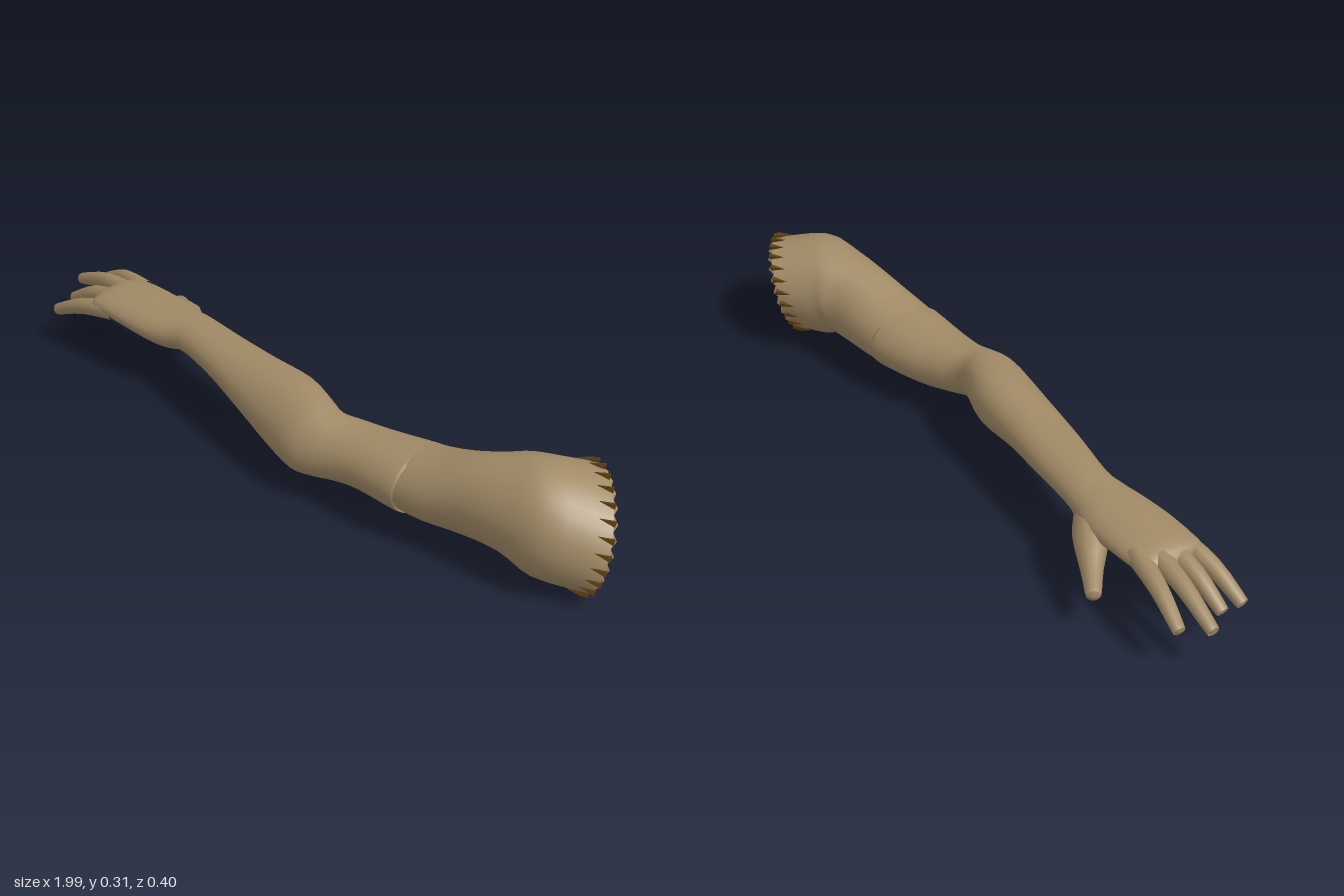
import * as THREE from 'three';
import { mergeGeometries, toCreasedNormals } from 'three/addons/utils/BufferGeometryUtils.js';

const V = (x, y, z) => new THREE.Vector3(x, y, z);

// Skin through elliptical rings { c: centre, u, v: half axes }, smoothed along the length
function loft(rings, sides, steps) {
  const [c, u, v] = ['c', 'u', 'v'].map(k =>
    new THREE.CatmullRomCurve3(rings.map(r => r[k]), false, 'catmullrom', 0.5));
  const count = (rings.length - 1) * steps;
  const pos = [], index = [];
  for (let i = 0; i <= count; i++) {
    const t = i / count;
    const pc = c.getPoint(t), pu = u.getPoint(t), pv = v.getPoint(t);
    for (let j = 0; j < sides; j++) {
      const a = j / sides * Math.PI * 2;
      pos.push(...pc.clone().addScaledVector(pu, Math.cos(a)).addScaledVector(pv, Math.sin(a)).toArray());
      if (i === count) continue;
      const p = i * sides + j, q = i * sides + (j + 1) % sides;
      index.push(p, p + sides, q, q, p + sides, q + sides);
    }
  }
  const g = new THREE.BufferGeometry();
  g.setAttribute('position', new THREE.Float32BufferAttribute(pos, 3));
  g.setIndex(index);
  g.computeVertexNormals();
  return g;
}

// Upright ring from its extents; drop lowers the front side
const ring = (x, bottom, top, back, front, drop = 0) => ({
  c: V(x, (bottom + top) / 2, (back + front) / 2),
  u: V(0, -drop, (front - back) / 2),
  v: V(0, (top - bottom) / 2, 0),
});

// Rounded finger along a few points with a radius at each
function finger(points, radii) {
  const n = points.length - 1;
  const rings = points.map((p, i) => {
    const dir = points[Math.min(i + 1, n)].clone().sub(points[Math.max(i - 1, 0)]).normalize();
    const v = V(0, 1, 0).addScaledVector(dir, -dir.y).normalize();
    const u = v.clone().cross(dir.clone().negate());
    return { c: p, dir, u: u.multiplyScalar(radii[i]), v: v.multiplyScalar(radii[i]) };
  });
  const end = rings[n];
  for (const [ahead, s] of [[0.5, 0.75], [0.75, 0.01]]) {
    rings.push({
      c: end.c.clone().addScaledVector(end.dir, radii[n] * ahead),
      u: end.u.clone().multiplyScalar(s), v: end.v.clone().multiplyScalar(s),
    });
  }
  return loft(rings, 10, 3);
}

export function createModel() {
  const group = new THREE.Group();
  const skin = new THREE.MeshStandardMaterial({ color: 0xa18a66 });
  skin.name = 'skin';
  const thread = new THREE.MeshStandardMaterial({ color: 0x5c3d10 });
  thread.name = 'brownThread';
  const add = (name, geometry, material) => {
    const mesh = new THREE.Mesh(geometry, material);
    mesh.name = name;
    group.add(mesh);
  };

  // Palm, wrist, forearm and elbow
  add('handAndForearm', loft([
    ring(-0.80, 0.174, 0.176, -0.012, -0.008),
    ring(-0.785, 0.152, 0.198, -0.085, 0.075),
    ring(-0.74, 0.138, 0.212, -0.102, 0.087),
    ring(-0.65, 0.13, 0.217, -0.103, 0.09),
    ring(-0.56, 0.117, 0.22, -0.1, 0.085),
    ring(-0.50, 0.117, 0.222, -0.083, 0.075),
    ring(-0.44, 0.13, 0.226, -0.072, 0.068),
    ring(-0.30, 0.124, 0.23, -0.055, 0.1),
    ring(-0.15, 0.1, 0.236, -0.035, 0.138, 0.01),
    ring(0.0, 0.066, 0.244, -0.02, 0.175, 0.02),
    ring(0.10, 0.06, 0.236, 0.015, 0.197, 0.025),
    ring(0.16, 0.063, 0.223, 0.03, 0.188, 0.02),
    ring(0.22, 0.063, 0.216, 0.0, 0.174, 0.01),
    ring(0.30, 0.06, 0.216, -0.03, 0.167),
    ring(0.43, 0.053, 0.225, -0.062, 0.17),
    ring(0.435, 0.06, 0.218, -0.055, 0.163),
  ], 28, 3), skin);

  // Upper arm, widening into the slanted shoulder cut
  const shoulder = { c: V(0.865, 0.145, -0.065), u: V(0.118, -0.04, 0.1), v: V(0.035, 0.13, -0.018) };
  const deltoid = { c: V(0.765, 0.165, 0.003), u: V(0.095, -0.015, 0.112), v: V(0.02, 0.142, -0.008) };
  add('upperArm', loft([
    ring(0.40, 0.058, 0.22, -0.053, 0.163),
    ring(0.50, 0.05, 0.24, -0.065, 0.155),
    ring(0.60, 0.05, 0.272, -0.076, 0.136),
    { c: V(0.69, 0.174, 0.015), u: V(0.045, -0.01, 0.112), v: V(0.008, 0.122, 0) },
    deltoid,
    shoulder,
  ], 32, 3), skin);

  // Fingers: knuckle, middle joint, tip
  const fingers = {
    indexFinger: [[-0.72, 0.18, -0.07], [-0.84, 0.165, -0.098], [-0.935, 0.125, -0.119]],
    middleFinger: [[-0.72, 0.182, -0.03], [-0.86, 0.168, -0.046], [-0.98, 0.126, -0.058]],
    ringFinger: [[-0.72, 0.178, 0.015], [-0.84, 0.158, 0.014], [-0.93, 0.113, 0.015]],
    littleFinger: [[-0.71, 0.17, 0.06], [-0.83, 0.145, 0.075], [-0.925, 0.102, 0.081]],
  };
  for (const [name, pts] of Object.entries(fingers)) {
    add(name, finger(pts.map(p => V(...p)), [0.028, 0.023, 0.017]), skin);
  }
  add('thumb', finger([V(-0.48, 0.16, -0.03), V(-0.57, 0.143, -0.088), V(-0.65, 0.118, -0.145),
    V(-0.705, 0.104, -0.183)], [0.03, 0.044, 0.028, 0.02]), skin);

  // Puckered skin closing the shoulder
  const stitches = 24;
  const axis = shoulder.u.clone().cross(shoulder.v).normalize().negate();
  const onRing = (r, a, s = 1) => r.c.clone()
    .addScaledVector(r.u, Math.cos(a) * s).addScaledVector(r.v, Math.sin(a) * s);
  const cap = [], n = stitches * 2;
  const capPoint = (j, k) => {
    const a = j / n * Math.PI * 2, pleat = j % 2;
    if (k === 0) return onRing(shoulder, a);
    if (k === 1) return onRing(shoulder, a, 0.95).addScaledVector(axis, pleat ? 0.014 : 0.002);
    if (k === 2) return onRing(shoulder, a, 0.72).addScaledVector(axis, 0.012);
    return shoulder.c.clone().addScaledVector(axis, 0.014);
  };
  for (let k = 0; k < 3; k++) {
    for (let j = 0; j < n; j++) {
      const a = capPoint(j, k), b = capPoint(j + 1, k), c = capPoint(j, k + 1), d = capPoint(j + 1, k + 1);
      for (const p of [a, c, b]) cap.push(p.x, p.y, p.z);
      if (k < 2) for (const p of [b, c, d]) cap.push(p.x, p.y, p.z);
    }
  }
  const capGeometry = new THREE.BufferGeometry();
  capGeometry.setAttribute('position', new THREE.Float32BufferAttribute(cap, 3));
  add('shoulderCap', toCreasedNormals(capGeometry, 0.5), skin);

  // Pointed stitches around the shoulder rim
  const spikes = [];
  for (let i = 0; i < stitches; i++) {
    const a = (i + 0.5) / stitches * Math.PI * 2;
    const p = onRing(shoulder, a);
    const out = p.clone().sub(shoulder.c).normalize();
    const dir = onRing(deltoid, a).sub(p).normalize();
    const spike = new THREE.ConeGeometry(0.009, 0.042, 4).toNonIndexed();
    spike.computeVertexNormals();
    spike.applyQuaternion(new THREE.Quaternion().setFromUnitVectors(V(0, 1, 0), dir));
    p.addScaledVector(dir, 0.018).addScaledVector(out, 0.004);
    spikes.push(spike.translate(p.x, p.y, p.z));
  }
  add('shoulderStitches', mergeGeometries(spikes), thread);
  return group;
}
